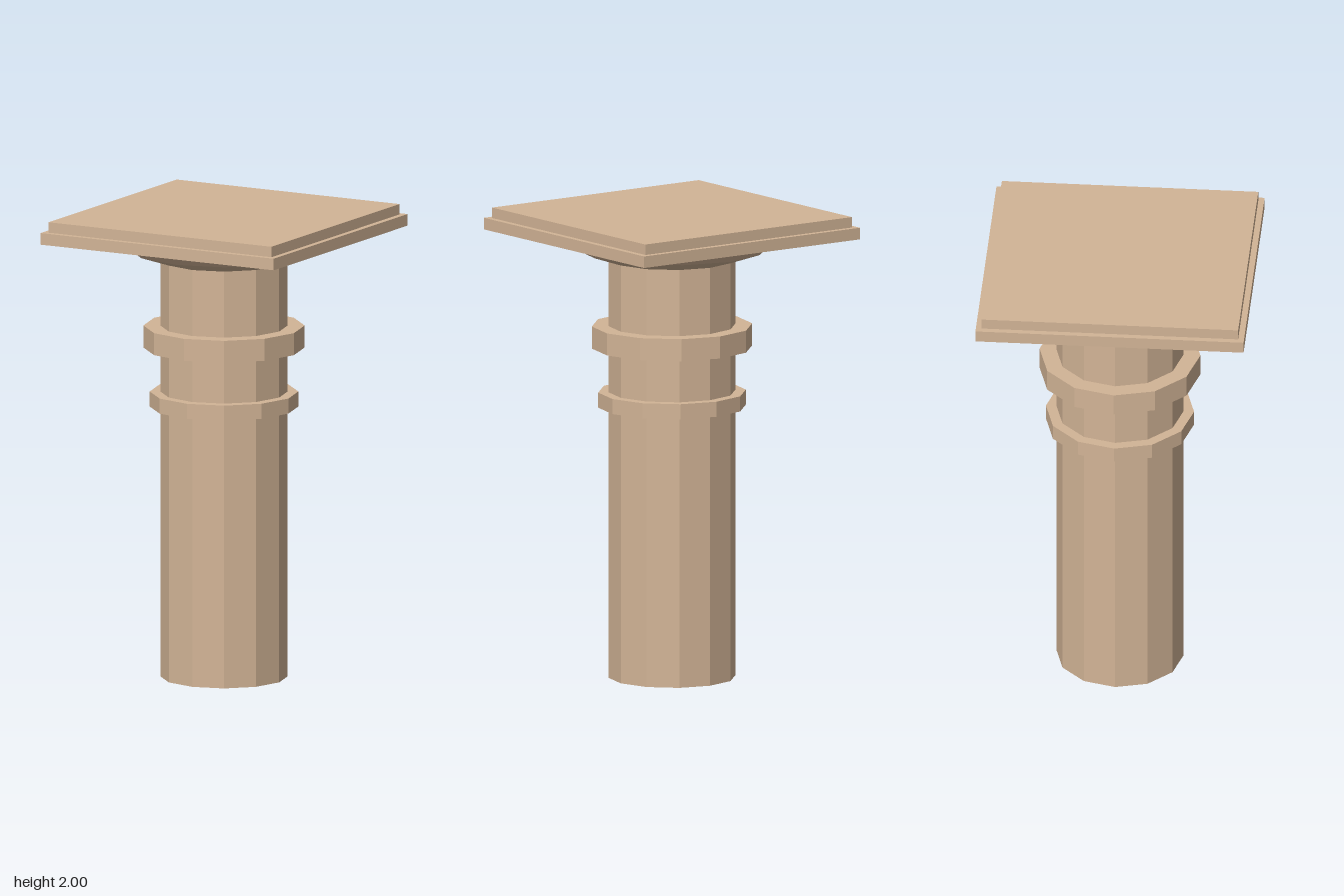
import * as THREE from 'three';

const SIDES = 12;

export function createModel() {
  const column = new THREE.Group();
  column.name = 'column';
  const stone = new THREE.MeshStandardMaterial({ color: 0xd2b496, flatShading: true });

  const add = (name, geometry, y = 0) => {
    const mesh = new THREE.Mesh(geometry, stone);
    mesh.name = name;
    mesh.position.y = y;
    column.add(mesh);
  };

  // Faceted solid turned from [radius, height] points, bottom to top
  const turned = (name, profile) =>
    add(name, new THREE.LatheGeometry(profile.map(([r, y]) => new THREE.Vector2(r, y)), SIDES));

  // Square slab between two heights
  const slab = (name, half, y0, y1) =>
    add(name, new THREE.BoxGeometry(half * 2, y1 - y0, half * 2), (y0 + y1) / 2);

  turned('shaft', [[0, 0], [0.27, 0], [0.27, 1.82], [0, 1.82]]);

  // Collars around the shaft
  turned('lowerCollar', [[0.26, 1.165], [0.315, 1.165], [0.315, 1.23], [0.26, 1.23]]);
  turned('upperCollar', [[0.26, 1.42], [0.342, 1.42], [0.342, 1.515], [0.26, 1.515]]);

  // Flared capital
  turned('capital', [[0, 1.8], [0.27, 1.8], [0.405, 1.845], [0.434, 1.875], [0.434, 1.905], [0, 1.905]]);

  // Stepped square top
  slab('lowerSlab', 0.57, 1.905, 1.955);
  slab('upperSlab', 0.545, 1.955, 2);

  return column;
}
